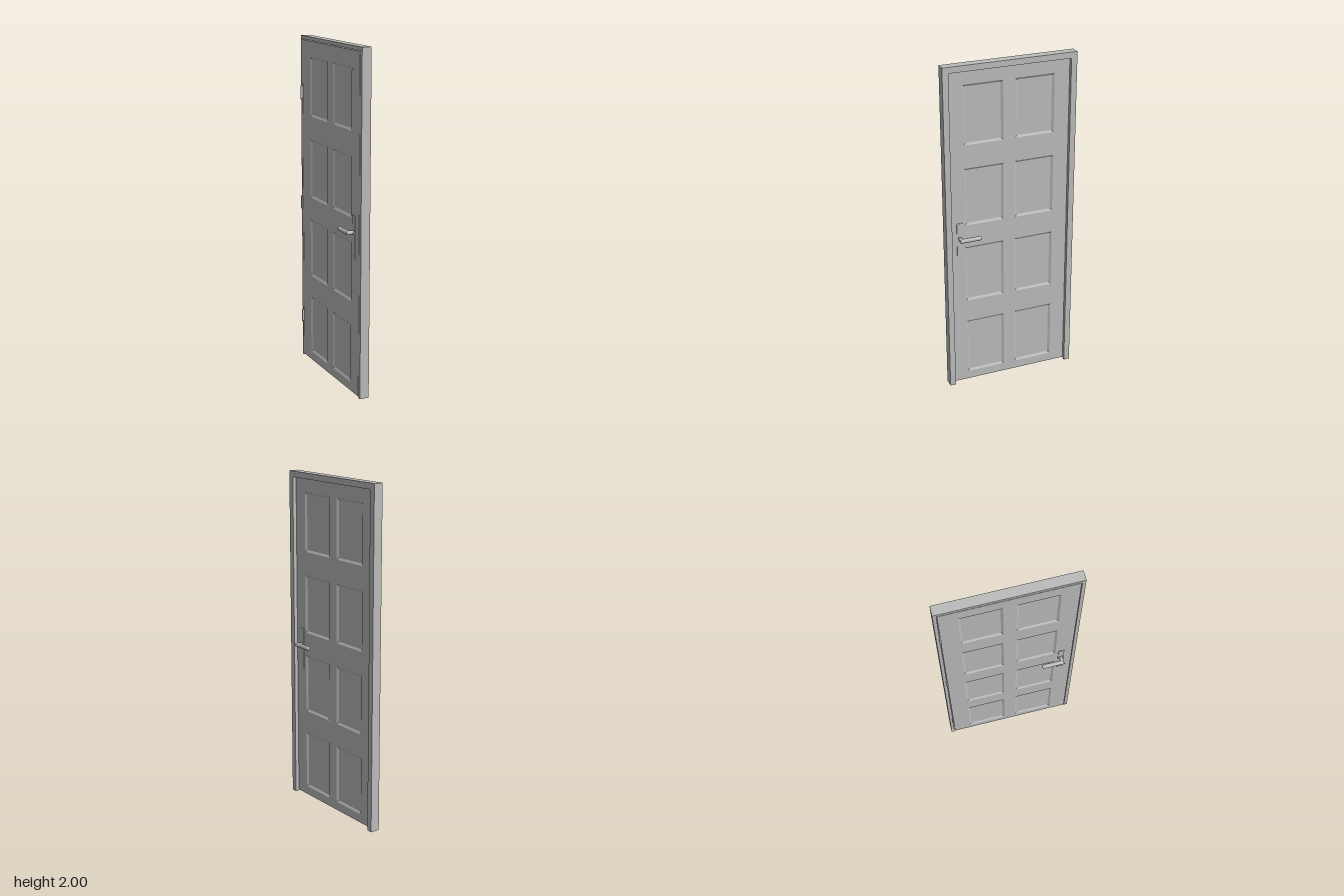
import * as THREE from 'three';

export function createModel() {
  const door = new THREE.Group();
  door.name = 'door';
  const grey = new THREE.MeshStandardMaterial({ color: 0xbcbcbc });
  grey.name = 'plain grey';

  const BACK = -0.018, FRONT = 0.038; // frame faces along x
  const LEAF = 0.0155;                // front face of the leaf, where the stop begins
  const HALF = 0.395;

  function add(parent, name, geometry, x = 0, y = 0, z = 0) {
    const mesh = new THREE.Mesh(geometry, grey);
    mesh.name = name;
    mesh.position.set(x, y, z);
    parent.add(mesh);
    return mesh;
  }

  const outline = (points, Type = THREE.Shape) => new Type(points.map(p => new THREE.Vector2(...p)));
  const rect = (z0, z1, y0, y1) => [[z0, y0], [z1, y0], [z1, y1], [z0, y1]];

  // Extrude a (-z, y) outline along x
  function slab(shape, x0, x1) {
    const g = new THREE.ExtrudeGeometry(shape, { depth: x1 - x0, bevelEnabled: false });
    return g.rotateY(Math.PI / 2).translate(x0, 0, 0);
  }

  // Frame: thin lining around the leaf, and a wider stop in front of it
  function arch(width) {
    const i = HALF - width, top = 2 - width;
    return outline([[-HALF, 0], [-i, 0], [-i, top], [i, top], [i, 0], [HALF, 0], [HALF, 2], [-HALF, 2]]);
  }
  add(door, 'frameLining', slab(arch(0.02), BACK, LEAF));
  add(door, 'frameStop', slab(arch(0.035), LEAF, FRONT));

  // Leaf with eight openings
  const leafShape = outline(rect(-0.372, 0.372, 0.008, 1.976));
  const columns = [[-0.273, -0.038], [0.034, 0.269]];
  const rows = [[0.06, 0.415], [0.553, 0.907], [1.045, 1.396], [1.535, 1.885]];
  const openings = [];
  for (const [z0, z1] of columns) for (const [y0, y1] of rows) openings.push([z0, z1, y0, y1]);
  for (const o of openings) leafShape.holes.push(outline(rect(...o), THREE.Path));
  add(door, 'leaf', slab(leafShape, BACK, LEAF));

  // Sloping moulding between the opening edge and the sunken panel
  const INSET = 0.012, SINK = 0.008;
  function moulding([z0, z1, y0, y1], xOuter, xInner) {
    const outer = rect(z0, z1, y0, y1);
    const inner = rect(z0 + INSET, z1 - INSET, y0 + INSET, y1 - INSET);
    const pos = [];
    for (let i = 0; i < 4; i++) {
      const j = (i + 1) % 4;
      const a = [xOuter, outer[i][1], -outer[i][0]], b = [xOuter, outer[j][1], -outer[j][0]];
      const c = [xInner, inner[j][1], -inner[j][0]], d = [xInner, inner[i][1], -inner[i][0]];
      const quad = xOuter > xInner ? [a, b, c, a, c, d] : [a, c, b, a, d, c];
      quad.forEach(p => pos.push(...p));
    }
    const g = new THREE.BufferGeometry();
    g.setAttribute('position', new THREE.Float32BufferAttribute(pos, 3));
    g.computeVertexNormals();
    return g;
  }
  for (const o of openings) {
    const [z0, z1, y0, y1] = o;
    const panel = outline(rect(z0 + INSET, z1 - INSET, y0 + INSET, y1 - INSET));
    add(door, 'panel', slab(panel, BACK + SINK, LEAF - SINK));
    add(door, 'frontMoulding', moulding(o, LEAF, LEAF - SINK));
    add(door, 'backMoulding', moulding(o, BACK, BACK + SINK));
  }

  // Lever handle: neck and grip meet in a mitre; x points away from the leaf
  const R = 0.0125, REACH = 0.037, GRIP = 0.109;
  function leverHandle(name) {
    const g = new THREE.Group();
    g.name = name;
    const neck = new THREE.CylinderGeometry(R, 0.0095, REACH, 24).rotateZ(-Math.PI / 2).translate(REACH / 2, 0, 0);
    const grip = new THREE.CylinderGeometry(R, R, GRIP, 24).rotateX(Math.PI / 2).translate(REACH, 0, -GRIP / 2);
    const n = neck.attributes.position, p = grip.attributes.position;
    for (let i = 0; i < n.count; i++) if (n.getX(i) > REACH / 2) n.setX(i, REACH + n.getZ(i));
    for (let i = 0; i < p.count; i++) if (p.getZ(i) > -GRIP / 2) p.setZ(i, p.getX(i) - REACH);
    add(g, 'neck', neck);
    add(g, 'grip', grip);
    add(g, 'gripEnd', new THREE.SphereGeometry(R, 24, 16), REACH, 0, -GRIP);
    const collar = new THREE.CylinderGeometry(0.013, 0.013, 0.006, 24).rotateZ(Math.PI / 2);
    add(g, 'collar', collar, 0.003);
    door.add(g);
    return g;
  }
  leverHandle('frontHandle').position.set(LEAF, 0.968, 0.308);
  const backHandle = leverHandle('backHandle');
  backHandle.position.set(BACK, 0.968, 0.308);
  backHandle.rotation.z = Math.PI;

  // Lock plates on both faces
  for (const [name, x] of [['frontLockPlate', LEAF + 0.001], ['backLockPlate', BACK - 0.001]]) {
    add(door, name, new THREE.BoxGeometry(0.005, 0.25, 0.035), x, 0.94, 0.308);
  }

  // Hinges: a barrel with end caps, on a small leaf plate
  for (const y of [0.265, 0.995, 1.665]) {
    const hinge = new THREE.Group();
    hinge.name = 'hinge';
    hinge.position.set(-0.027, y, -0.3745);
    add(hinge, 'barrel', new THREE.CylinderGeometry(0.0055, 0.0055, 0.074, 16));
    for (const s of [-1, 1]) {
      add(hinge, 'barrelCap', new THREE.SphereGeometry(0.0055, 16, 8), 0, s * 0.037, 0);
    }
    add(hinge, 'hingePlate', new THREE.BoxGeometry(0.012, 0.07, 0.003), 0.006, 0, 0);
    door.add(hinge);
  }

  return door;
}
